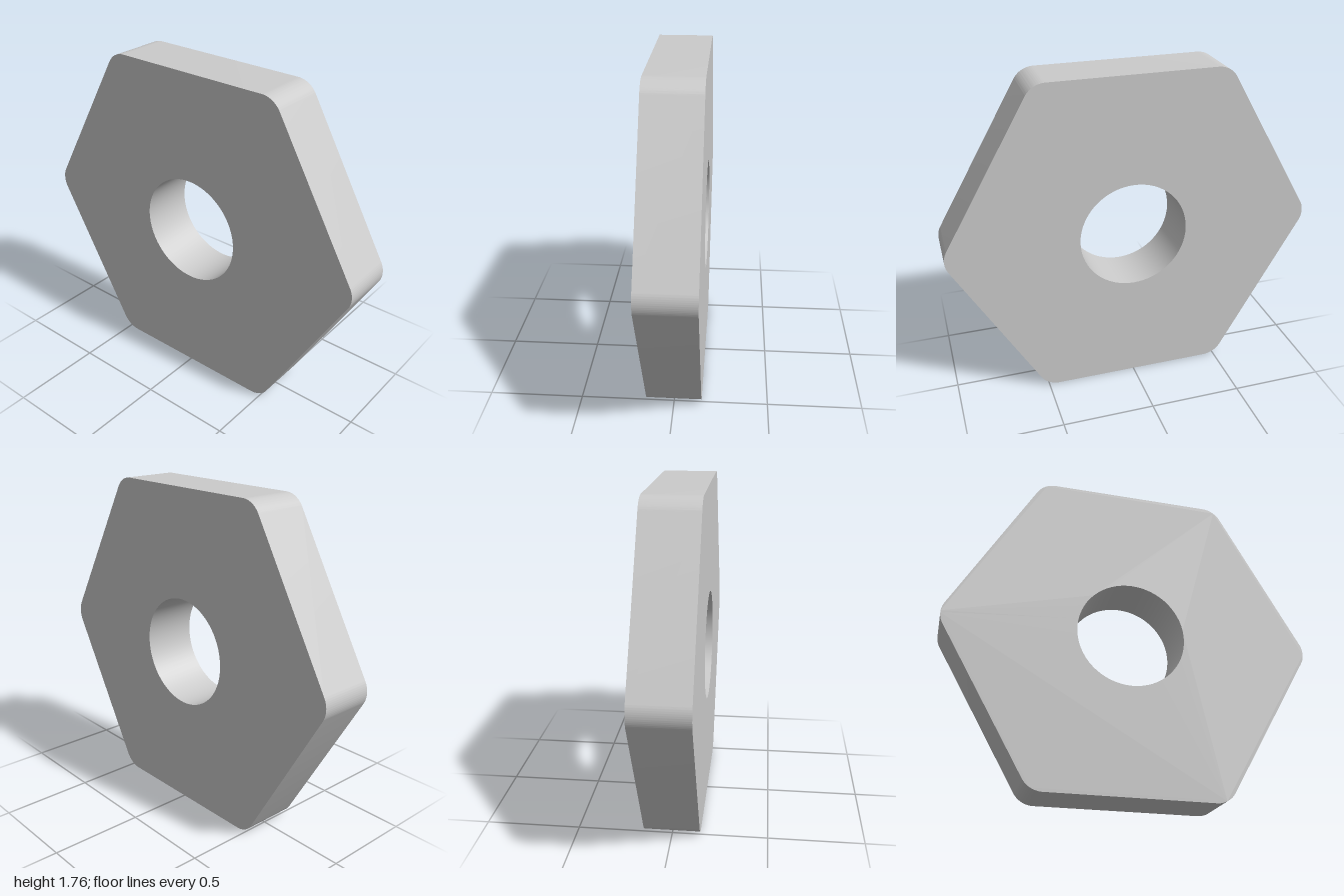
import * as THREE from 'three';
import { toCreasedNormals } from 'three/addons/utils/BufferGeometryUtils.js';

const APOTHEM = 0.882;    // centre to flat side
const FILLET = 0.12;      // corner rounding radius
const HOLE_RADIUS = 0.295;
const THICKNESS = 0.295;

// Hexagon with rounded corners, pointing along +x and -x
function roundedHexagon() {
  const shape = new THREE.Shape();
  const centreRadius = (APOTHEM - FILLET) / Math.cos(Math.PI / 6);
  for (let i = 0; i < 6; i++) {
    const a = (i * Math.PI) / 3;
    shape.absarc(
      centreRadius * Math.cos(a), centreRadius * Math.sin(a),
      FILLET, a - Math.PI / 6, a + Math.PI / 6, false
    );
  }
  shape.closePath();
  return shape;
}

export function createModel() {
  const group = new THREE.Group();
  group.name = 'hexNut';

  // Flat plate with a round through hole
  const outline = roundedHexagon();
  const hole = new THREE.Path();
  hole.absarc(0, 0, HOLE_RADIUS, 0, Math.PI * 2, true);
  outline.holes.push(hole);

  const plate = new THREE.ExtrudeGeometry(outline, {
    depth: THICKNESS, bevelEnabled: false, curveSegments: 32
  });
  plate.translate(0, APOTHEM, -THICKNESS / 2);

  const nut = new THREE.Mesh(
    toCreasedNormals(plate, Math.PI / 6),
    new THREE.MeshStandardMaterial({ color: 0xcccccc })
  );
  nut.name = 'nutBody';
  group.add(nut);
  return group;
}
